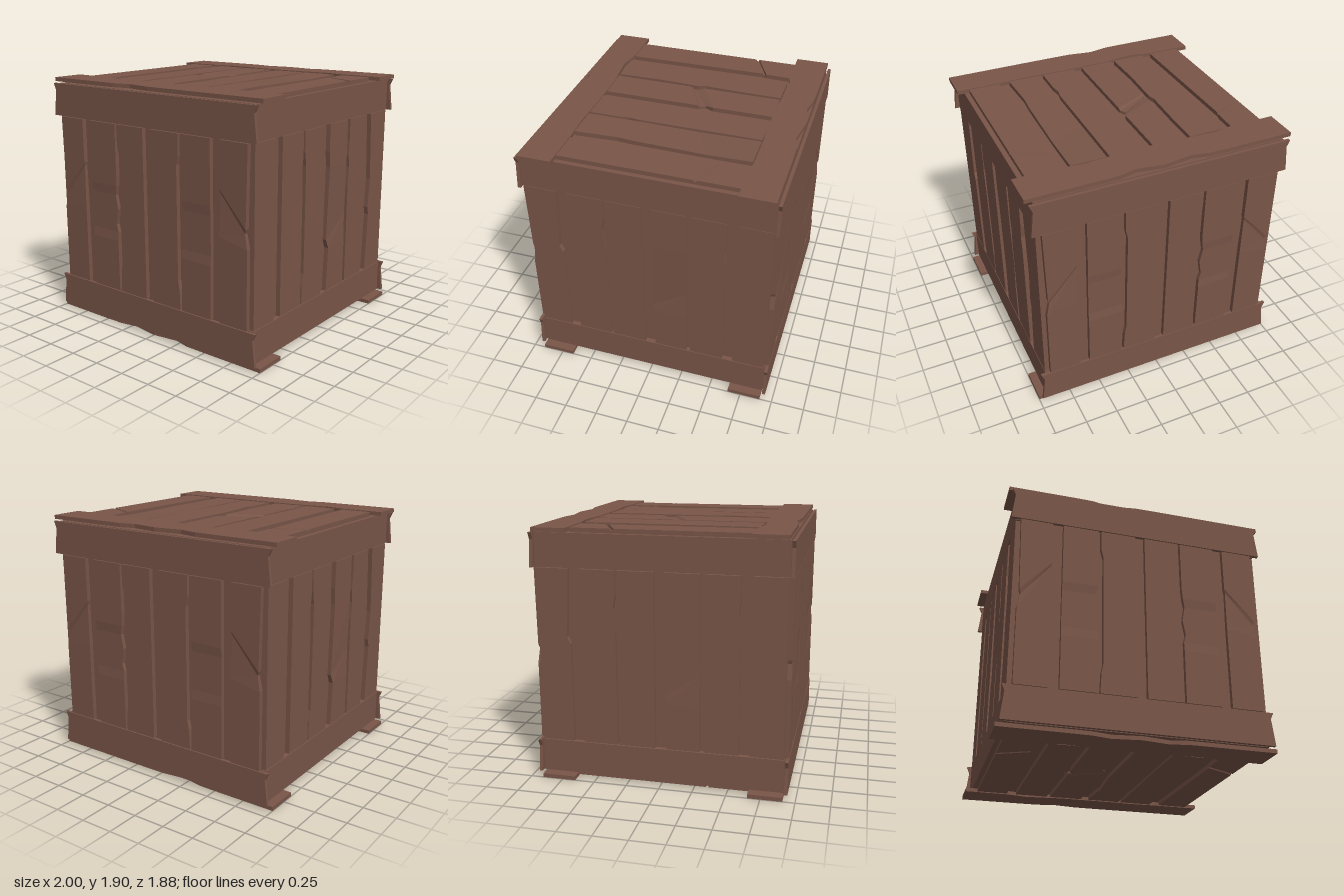
import * as THREE from 'three';

const MID = 0.95; // height of the crate's centre
const wood = new THREE.MeshStandardMaterial({ color: 0x795548, flatShading: true });

// Board lofted along v. Each row: [vLeft, uLeft, vRight, uRight, dent]
function board(rows, base, top) {
  const pos = [], idx = [];
  for (const [vl, ul, vr, ur, dent = 0] of rows) {
    pos.push(ul, vl, base, ul, vl, top - dent, ur, vr, top - dent, ur, vr, base);
  }
  const quad = (a, b, c, d) => idx.push(a, b, c, a, c, d);
  for (let i = 0; i < rows.length - 1; i++) {
    for (let j = 0; j < 4; j++) {
      const k = (j + 1) % 4;
      quad(i * 4 + j, i * 4 + k, i * 4 + 4 + k, i * 4 + 4 + j);
    }
  }
  const e = (rows.length - 1) * 4;
  quad(0, 3, 2, 1);
  quad(e, e + 1, e + 2, e + 3);
  const g = new THREE.BufferGeometry();
  g.setAttribute('position', new THREE.Float32BufferAttribute(pos, 3));
  g.setIndex(idx);
  const flat = g.toNonIndexed();
  flat.computeVertexNormals();
  return flat;
}

const row = (v, l, r, dent) => [v, l, v, r, dent];
const mirror = rows => rows.map(([vl, ul, vr, ur, d]) => [vr, -ur, vl, -ul, d]);
const E = 0.655; // half length of a plank

// Front and back planks: left half, then mirrored
const frontHalf = [
  [row(-E, -0.905, -0.667), [-0.07, -0.905, -0.02, -0.667], [0.04, -0.882, 0.29, -0.673, 0.008],
    [0.07, -0.892, 0.32, -0.667], row(E, -0.905, -0.667)],
  [row(-E, -0.588, -0.32), row(-0.25, -0.588, -0.322), row(-0.18, -0.588, -0.322, 0.006),
    row(-0.12, -0.588, -0.338, 0.006), row(0, -0.588, -0.318, 0.006), row(0.11, -0.588, -0.338, 0.006),
    row(0.18, -0.588, -0.326), row(0.26, -0.588, -0.32), row(E, -0.588, -0.32)],
  [row(-E, -0.305, -0.037), row(-0.5, -0.297, -0.037), row(-0.43, -0.284, -0.037),
    row(0.43, -0.284, -0.037), row(0.5, -0.3, -0.037), row(E, -0.302, -0.037)],
];
const frontPlanks = [...frontHalf, ...frontHalf.map(mirror)];

// Side planks
const sidePlanks = [
  [row(-E, -0.905, -0.665), row(0.1, -0.905, -0.667), row(0.15, -0.905, -0.692), row(0.3, -0.905, -0.683), row(E, -0.905, -0.667)],
  [row(-E, -0.588, -0.324), row(0.2, -0.588, -0.325), row(0.38, -0.588, -0.337), row(0.47, -0.588, -0.324), row(E, -0.588, -0.324)],
  [row(-E, -0.308, -0.038), row(-0.5, -0.305, -0.038), row(-0.42, -0.286, -0.038), row(0.4, -0.286, -0.038),
    row(0.5, -0.304, -0.038), row(E, -0.306, -0.038)],
  [row(-E, 0.042, 0.294), row(-0.31, 0.06, 0.294), [-0.24, 0.033, -0.08, 0.294, 0.006],
    row(0.33, 0.046, 0.294), row(0.45, 0.035, 0.294), row(E, 0.037, 0.294)],
  [row(-E, 0.325, 0.58), row(0.15, 0.325, 0.58), row(0.28, 0.337, 0.578), row(0.38, 0.322, 0.566), row(0.48, 0.33, 0.58), row(E, 0.33, 0.58)],
  [row(-E, 0.66, 0.905), row(-0.18, 0.685, 0.905), row(-0.12, 0.672, 0.905), row(0.12, 0.69, 0.905), row(0.4, 0.675, 0.905), row(E, 0.66, 0.905)],
];

// Lid and bottom planks
const lidEdge = [row(-E, -0.905, -0.662), [0.33, -0.905, 0.44, -0.675], [0.336, -0.905, 0.446, -0.675, 0.014],
  [0.352, -0.905, 0.462, -0.672, 0.014], [0.358, -0.905, 0.468, -0.668], row(E, -0.905, -0.662)];
const lidPlanks = [
  lidEdge,
  [row(-E, -0.588, -0.328), row(-0.35, -0.588, -0.337), row(0, -0.588, -0.325), row(0.06, -0.588, -0.34), row(0.35, -0.588, -0.33), row(E, -0.588, -0.325)],
  [row(-E, -0.3, -0.035), [-0.05, -0.3, 0.08, -0.035], [-0.03, -0.298, 0.1, -0.038, 0.012],
    [0.0, -0.272, 0.14, -0.062, 0.012], [0.06, -0.3, 0.2, -0.035], row(E, -0.3, -0.035)],
  [row(-E, 0.03, 0.296), row(-0.42, 0.042, 0.296), row(-0.35, 0.056, 0.284), row(-0.27, 0.045, 0.296), row(0, 0.025, 0.296), row(E, 0.033, 0.296)],
  [row(-E, 0.317, 0.58), row(-0.33, 0.317, 0.565), [-0.25, 0.317, -0.2, 0.575], [0.2, 0.317, 0.33, 0.585, 0.006], row(E, 0.317, 0.585)],
  mirror(lidEdge),
];

// Rails, with swallow-tail ends on the front and back
const frontRail = v => [row(v, -0.977, 0.977), row(v + 0.2, -0.955, 0.955), row(v + 0.25, -0.977, 0.977)];
const sideRail = v => [row(v, -0.91, 0.91), row(v + 0.25, -0.91, 0.91)];

// Lid rails run along x with worn, wavy long edges
const lidRails = [
  [row(-1, 0.65, 0.905), row(-0.67, 0.652, 0.905), row(-0.5, 0.682, 0.905), row(-0.36, 0.67, 0.903), row(-0.21, 0.652, 0.875),
    row(-0.02, 0.652, 0.903), row(0.2, 0.652, 0.905), row(0.4, 0.66, 0.905), row(0.65, 0.652, 0.905), row(1, 0.652, 0.905)],
  [row(-1, -0.91, -0.657), row(-0.66, -0.91, -0.657), row(-0.5, -0.91, -0.685), row(-0.35, -0.907, -0.675), row(-0.21, -0.88, -0.658),
    row(0, -0.91, -0.657), row(0.21, -0.88, -0.658), row(0.33, -0.908, -0.67), row(0.5, -0.91, -0.685), row(0.67, -0.91, -0.657), row(1, -0.91, -0.657)],
];

function panel(name, planks, plankTop, rails) {
  const g = new THREE.Group();
  g.name = name;
  const add = (part, geo) => {
    const m = new THREE.Mesh(geo, wood);
    m.name = part;
    g.add(m);
  };
  planks.forEach((rows, i) => add('plank' + (i + 1), board(rows, 0.9, plankTop)));
  rails.forEach((geo, i) => add('rail' + (i + 1), geo));
  g.position.y = MID;
  return g;
}

export function createModel() {
  const crate = new THREE.Group();
  crate.name = 'woodenCrate';

  // Closed inner box seen through the gaps
  const core = new THREE.Mesh(new THREE.BoxGeometry(1.81, 1.82, 1.81), wood);
  core.name = 'innerBox';
  core.position.y = MID;
  crate.add(core);

  // Four walls
  ['front', 'left', 'back', 'right'].forEach((side, i) => {
    const isSide = i % 2 === 1;
    const rail = isSide ? sideRail : frontRail;
    const rails = [-0.91, 0.66].map(v => board(rail(v), isSide ? 0.9 : 0.918, 0.942));
    const wall = panel(side + 'Wall', isSide ? sidePlanks : frontPlanks, 0.94, rails);
    wall.rotation.y = i * Math.PI / 2;
    crate.add(wall);
  });

  // Lid and bottom
  [['lid', -1], ['bottom', 1]].forEach(([name, s]) => {
    const rails = lidRails.map(rows => board(rows, 0.92, 0.95).rotateZ(-Math.PI / 2));
    const p = panel(name, lidPlanks, 0.943, rails);
    p.rotation.x = s * Math.PI / 2;
    crate.add(p);
  });
  return crate;
}
